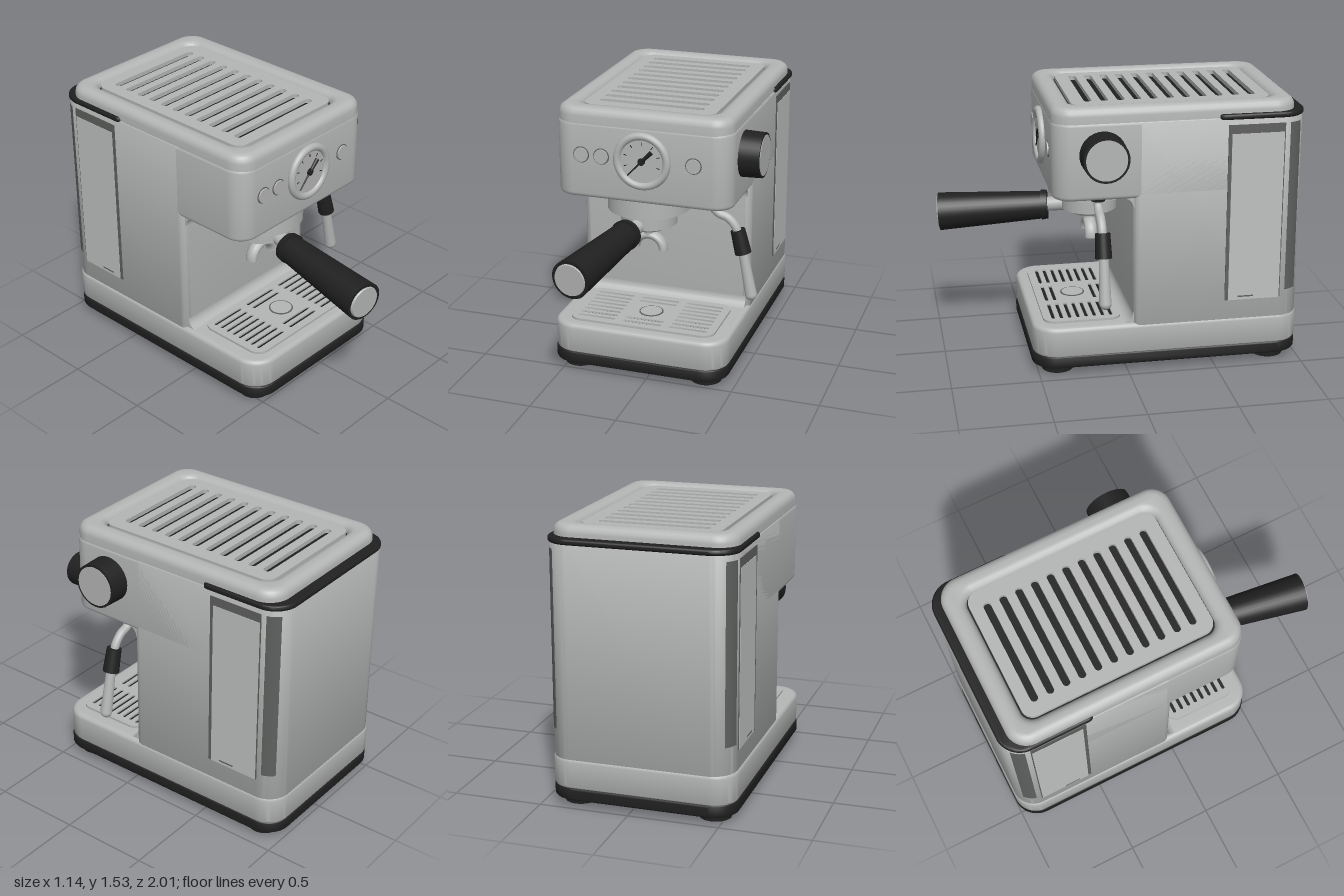
import * as THREE from 'three';
import { toCreasedNormals } from 'three/addons/utils/BufferGeometryUtils.js';

const mat = (name, color) => Object.assign(new THREE.MeshStandardMaterial({ color }), { name });
const steel = mat('brushed steel', 0xb4b5b5);
const black = mat('black plastic', 0x202020);
const smoke = mat('smoked trim', 0x5e605e);
const pale = mat('tank window', 0xbfc1c1);

const L = -0.565, R = 0.45, CX = (L + R) / 2; // side walls of the body

// Rounded rectangle seen from above, with separate front and rear corner radii
function plan(P, x0, x1, z0, z1, rf, rb = rf) {
  const s = new P(), q = Math.PI / 2;
  s.absarc(x1 - rf, -z1 + rf, rf, -q, 0);
  s.absarc(x1 - rb, -z0 - rb, rb, 0, q);
  s.absarc(x0 + rb, -z0 - rb, rb, q, 2 * q);
  s.absarc(x0 + rf, -z1 + rf, rf, 2 * q, 3 * q);
  s.closePath();
  return s;
}

// Raises a plan shape from y0 to y1 with rounded edges
function raise(shape, y0, y1, b = 0) {
  const g = new THREE.ExtrudeGeometry(shape, {
    depth: y1 - y0 - 2 * b, bevelEnabled: b > 0, bevelSize: b, bevelThickness: b,
    bevelOffset: -b, bevelSegments: 4, curveSegments: 8,
  });
  g.rotateX(-Math.PI / 2).translate(0, y0 + b, 0);
  return toCreasedNormals(g, 0.6);
}

export function createModel() {
  const group = new THREE.Group();
  const add = (name, geo, m, x = 0, y = 0, z = 0) => {
    const mesh = new THREE.Mesh(geo, m);
    mesh.name = name;
    mesh.position.set(x, y, z);
    group.add(mesh);
    return mesh;
  };
  const slab = (name, m, x0, x1, z0, z1, y0, y1, rf, rb, b) =>
    add(name, raise(plan(THREE.Shape, x0, x1, z0, z1, rf, rb), y0, y1, b), m);
  const box = (name, m, w, h, d, x, y, z) => add(name, new THREE.BoxGeometry(w, h, d), m, x, y, z);
  const disc = (name, m, r0, r1, h, x, y, z) => add(name, new THREE.CylinderGeometry(r0, r1, h, 40), m, x, y, z);
  const rod = (name, m, a, b, ra, rb) => { // tapered round bar from a to b
    const p = new THREE.Vector3(...a), d = new THREE.Vector3(...b).sub(p);
    const mesh = add(name, new THREE.CylinderGeometry(rb, ra, d.length(), 32), m);
    mesh.position.copy(p).addScaledVector(d, 0.5);
    mesh.quaternion.setFromUnitVectors(new THREE.Vector3(0, 1, 0), d.normalize());
    return mesh;
  };
  // Panel pierced by slots, each given as [x0, x1, z, width]
  const grille = (name, outline, slots, y0, y1) => {
    for (const [x0, x1, z, w] of slots)
      outline.holes.push(plan(THREE.Path, x0, x1, z - w / 2, z + w / 2, w * 0.49));
    add(name, raise(outline, y0, y1), steel);
  };

  // Feet and base
  for (const x of [-0.44, 0.32]) for (const z of [0.385, -0.845])
    disc('foot', black, 0.092, 0.088, 0.06, x, 0.03, z);
  slab('base', black, -0.575, 0.455, -1, 0.53, 0.045, 0.115, 0.14, 0.14, 0.012);

  // Lower housing and column
  slab('lowerHousing', steel, -0.573, 0.455, -0.998, 0.525, 0.105, 0.285, 0.14, 0.13, 0.025);
  slab('column', steel, L, R, -0.993, -0.03, 0.2, 1.45, 0.04, 0.125, 0.005);

  // Concave fillets where the column meets the housing and the head
  const cove = new THREE.Shape();
  cove.moveTo(-0.01, -0.01).lineTo(0.06, -0.01).lineTo(0.06, 0);
  cove.absarc(0.06, 0.06, 0.06, -Math.PI / 2, -Math.PI, true);
  cove.lineTo(-0.01, 0.06);
  for (const top of [false, true]) {
    const g = new THREE.ExtrudeGeometry(cove, { depth: R - L - 0.04, bevelEnabled: false });
    g.translate(0, 0, -(R - L - 0.04) / 2).rotateY(-Math.PI / 2);
    if (top) g.rotateZ(Math.PI);
    add('fillet', toCreasedNormals(g, 0.6), steel, CX, top ? 1.022 : 0.283, -0.03);
  }

  // Head with a rounded rim around the cup warmer
  slab('headLower', steel, L, R, -0.95, 0.41, 1.02, 1.46, 0.11, 0.12, 0.025);
  const rim = plan(THREE.Shape, L + 0.005, R - 0.005, -0.945, 0.408, 0.11, 0.12);
  rim.holes.push(plan(THREE.Path, -0.45, 0.325, -0.83, 0.29, 0.07));
  add('headRim', raise(rim, 1.3, 1.535, 0.045), steel);
  slab('warmerFloor', black, -0.46, 0.335, -0.84, 0.3, 1.45, 1.495, 0.07, 0.07, 0);
  const slots = [];
  for (let i = 0; i < 11; i++) slots.push([-0.37, 0.235, -0.735 + i * 0.092, 0.042]);
  grille('cupWarmer', plan(THREE.Shape, -0.443, 0.318, -0.823, 0.283, 0.065), slots, 1.498, 1.522);

  // Black lip wrapping the rear of the head
  slab('rearLip', black, -0.575, 0.463, -1, -0.5, 1.44, 1.472, 0.03, 0.14, 0.012);

  // Tank windows and corner strips on both sides
  for (const s of [-1, 1]) {
    const x = s > 0 ? R : L;
    box('windowFrame', smoke, 0.006, 1.02, 0.32, x + s * 0.001, 0.9, -0.71);
    box('tankWindow', pale, 0.008, 0.97, 0.295, x + s * 0.002, 0.875, -0.717);
    box('tankLatch', smoke, 0.009, 0.008, 0.09, x + s * 0.003, 0.41, -0.67);
    const a = Math.PI / 180;
    add('cornerStrip', new THREE.CylinderGeometry(0.128, 0.128, 0.98, 8, 1, true,
      s > 0 ? 104 * a : 220 * a, 36 * a), smoke, x - s * 0.125, 0.92, -0.868);
  }

  // Drip tray grid
  slab('trayFloor', black, -0.475, 0.36, 0.03, 0.45, 0.27, 0.288, 0.06, 0.06, 0);
  const traySlots = [];
  for (let i = 0; i < 8; i++) {
    const z = 0.075 + i * 0.047;
    traySlots.push([-0.44, -0.22, z, 0.02], [0.105, 0.325, z, 0.02]);
    if (i < 2 || i > 5) traySlots.push([-0.17, 0.055, z, 0.02]);
  }
  grille('dripGrid', plan(THREE.Shape, -0.485, 0.37, 0.02, 0.46, 0.07), traySlots, 0.275, 0.298);
  disc('drainDish', smoke, 0.07, 0.07, 0.006, CX, 0.298, 0.24);
  disc('drainCentre', steel, 0.062, 0.062, 0.008, CX, 0.299, 0.24);

  // Pressure gauge
  const gx = -0.045, gy = 1.27;
  disc('gaugeFace', steel, 0.15, 0.15, 0.03, gx, gy, 0.41).rotation.x = Math.PI / 2;
  add('gaugeRing', new THREE.TorusGeometry(0.142, 0.022, 12, 56), steel, gx, gy, 0.42);
  rod('needle', black, [-0.125, 1.185, 0.429], [gx, gy, 0.429], 0.003, 0.005);
  rod('needleTail', black, [gx, gy, 0.429], [0.012, 1.328, 0.429], 0.009, 0.013);
  disc('needleHub', black, 0.02, 0.02, 0.014, gx, gy, 0.429).rotation.x = Math.PI / 2;
  for (let i = 0; i < 7; i++) {
    const t = (i - 0.5) * Math.PI / 5;
    box('tick', black, 0.018, 0.004, 0.004, gx + 0.1 * Math.cos(t), gy + 0.1 * Math.sin(t), 0.425).rotation.z = t;
  }

  // Push buttons with dark seams
  for (const x of [-0.4, -0.283, 0.245]) {
    disc('buttonSeam', smoke, 0.046, 0.046, 0.008, x, gy, 0.409).rotation.x = Math.PI / 2;
    disc('button', steel, 0.04, 0.042, 0.02, x, gy, 0.41).rotation.x = Math.PI / 2;
  }

  // Steam knob
  rod('knob', black, [0.44, 1.28, 0.14], [0.567, 1.28, 0.14], 0.13, 0.126);
  rod('knobCap', steel, [0.56, 1.28, 0.14], [0.57, 1.28, 0.14], 0.113, 0.113);

  // Brew group
  const bx = -0.105, bz = 0.13;
  disc('brewCollar', steel, 0.235, 0.235, 0.12, bx, 0.965, bz);
  disc('filterBasket', steel, 0.163, 0.16, 0.1, bx, 0.86, bz);
  disc('basketBottom', steel, 0.125, 0.1, 0.035, bx, 0.797, bz);
  disc('spoutStem', steel, 0.035, 0.035, 0.06, bx, 0.76, bz);
  add('twinSpout', new THREE.TorusGeometry(0.085, 0.026, 12, 24, Math.PI), steel, bx, 0.645, bz)
    .scale.z = 1.4;

  // Portafilter handle
  rod('handleNeck', steel, [bx, 0.84, 0.2], [-0.155, 0.817, 0.4], 0.045, 0.04);
  rod('handleCollar', black, [-0.15, 0.818, 0.365], [-0.156, 0.816, 0.4], 0.083, 0.088);
  rod('handle', black, [-0.153, 0.816, 0.385], [-0.246, 0.78, 0.985], 0.08, 0.11);
  rod('handleCap', steel, [-0.245, 0.78, 0.975], [-0.2475, 0.779, 0.994], 0.096, 0.088);

  // Steam wand
  disc('wandCollar', black, 0.062, 0.05, 0.03, 0.275, 1.008, 0.14);
  disc('wandNut', black, 0.045, 0.04, 0.03, 0.275, 0.982, 0.14);
  const path = new THREE.CatmullRomCurve3([[0.275, 1], [0.278, 0.945], [0.31, 0.912], [0.365, 0.89],
    [0.41, 0.84], [0.432, 0.77], [0.46, 0.68]].map(([x, y]) => new THREE.Vector3(x, y, 0.14)));
  add('wandTube', new THREE.TubeGeometry(path, 40, 0.025, 14), steel);
  rod('wandGrip', black, [0.422, 0.825, 0.14], [0.456, 0.69, 0.14], 0.042, 0.047);
  rod('wandTip', steel, [0.456, 0.69, 0.14], [0.506, 0.442, 0.14], 0.027, 0.034);
  add('wandEnd', new THREE.SphereGeometry(0.034, 20, 14), steel, 0.506, 0.442, 0.14);

  return group;
}
